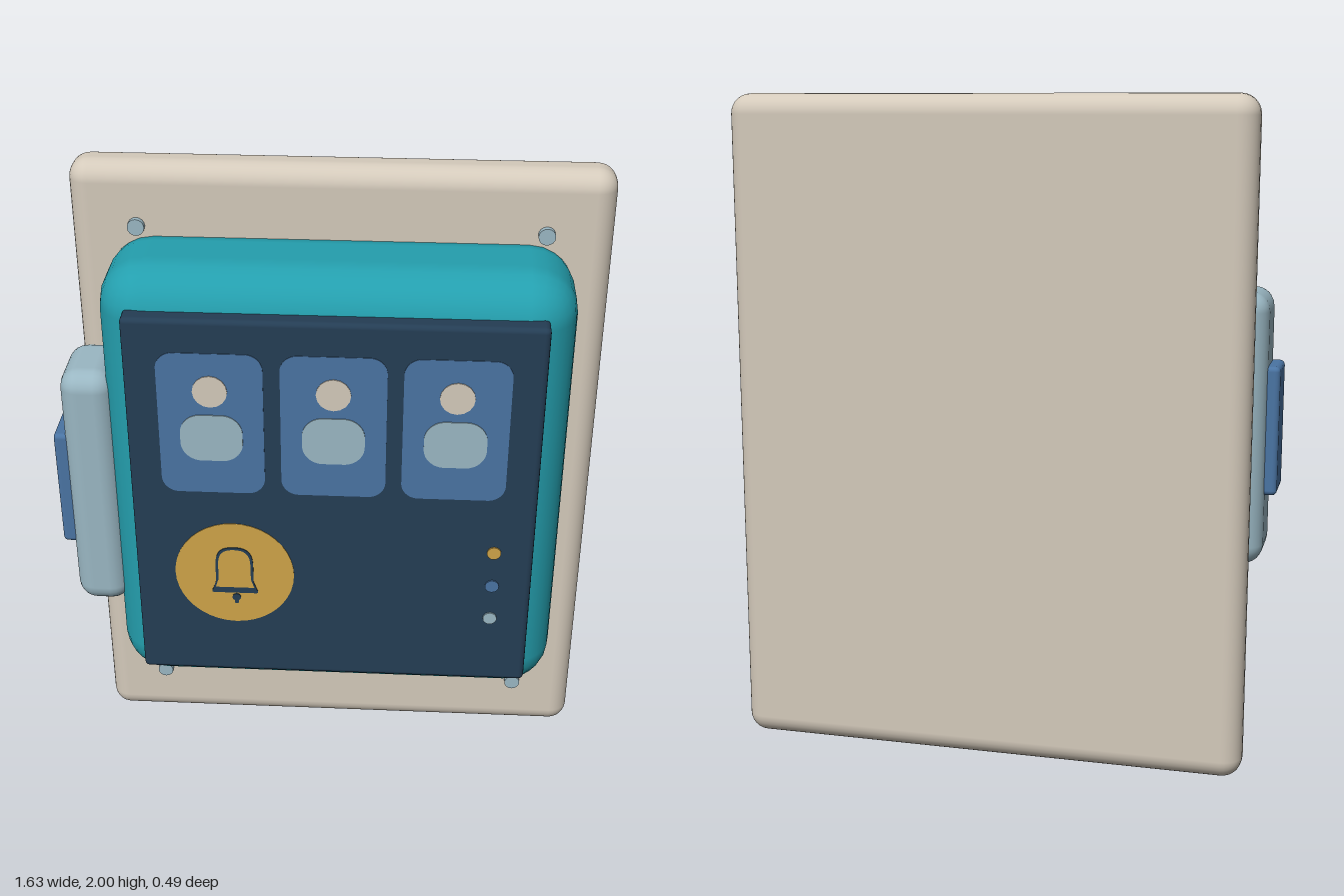
import * as THREE from 'three';
import { RoundedBoxGeometry } from 'three/addons/geometries/RoundedBoxGeometry.js';

const mat = (name, color) => {
  const m = new THREE.MeshStandardMaterial({ color });
  m.name = name;
  return m;
};

export function createModel() {
  const group = new THREE.Group();
  const cream = mat('cream', 0xd4cabb);
  const teal = mat('teal', 0x249fae);
  const navy = mat('navy', 0x243d54);
  const blue = mat('blue', 0x4a74a3);
  const paleBlue = mat('paleBlue', 0x9ab7c3);
  const gold = mat('gold', 0xcfa448);

  const add = (name, geometry, material, x = 0, y = 0, z = 0) => {
    const mesh = new THREE.Mesh(geometry, material);
    mesh.name = name;
    mesh.position.set(x, y, z);
    group.add(mesh);
    return mesh;
  };

  // Rounded box given by its limits on each axis
  const box = (name, material, [x0, x1], [y0, y1], [z0, z1], radius, segments) =>
    add(name, new RoundedBoxGeometry(x1 - x0, y1 - y0, z1 - z0, segments, radius), material,
      (x0 + x1) / 2, (y0 + y1) / 2, (z0 + z1) / 2);

  // Thin plate lying on the screen
  const FACE = 0.24;
  const plate = (name, shape, material, x, y, depth) =>
    add(name, new THREE.ExtrudeGeometry(shape, { depth, bevelEnabled: false, curveSegments: 8 }),
      material, x, y, FACE);

  const roundedRect = (w, h, r) => {
    const s = new THREE.Shape();
    const a = w / 2, b = h / 2;
    s.absarc(a - r, b - r, r, 0, Math.PI / 2);
    s.absarc(-a + r, b - r, r, Math.PI / 2, Math.PI);
    s.absarc(-a + r, -b + r, r, Math.PI, Math.PI * 1.5);
    s.absarc(a - r, -b + r, r, Math.PI * 1.5, Math.PI * 2);
    s.closePath();
    return s;
  };
  const disc = (r) => {
    const s = new THREE.Shape();
    s.absarc(0, 0, r, 0, Math.PI * 2);
    return s;
  };

  // Main solids
  box('wallPlate', cream, [-0.755, 0.815], [0, 2], [-0.245, -0.102], 0.06, 4);
  box('housing', teal, [-0.65, 0.71], [0.36, 1.79], [-0.2, 0.195], 0.14, 3);
  box('screen', navy, [-0.565, 0.625], [0.465, 1.685], [0.16, FACE], 0.016, 2);
  box('sidePod', paleBlue, [-0.785, -0.62], [0.625, 1.44], [-0.118, 0.132], 0.06, 3);
  box('sideButton', blue, [-0.82, -0.76], [0.835, 1.22], [-0.066, 0.096], 0.015, 2);

  // Corner screws
  const screw = new THREE.CylinderGeometry(0.025, 0.025, 0.04, 16).rotateX(Math.PI / 2);
  for (const x of [-0.56, 0.62])
    for (const y of [0.19, 1.815]) add('screw', screw, paleBlue, x, y, -0.105);

  // Contact tiles with a head and shoulders
  for (const x of [-0.32, 0.03, 0.378]) {
    plate('contactTile', roundedRect(0.302, 0.455, 0.05), blue, x, 1.357, 0.002);
    plate('contactHead', disc(0.05), cream, x, 1.465, 0.005);
    plate('contactBody', roundedRect(0.18, 0.15, 0.06), paleBlue, x, 1.314, 0.005);
  }

  // Bell button: a disc with an outlined bell
  const BX = -0.268, BY = 0.84;
  const buttonMesh = plate('bellButton', disc(0.18), gold, BX, BY, 0.002);
  buttonMesh.geometry.dispose();
  buttonMesh.geometry = new THREE.CylinderGeometry(0.18, 0.18, 0.004, 40).rotateX(Math.PI / 2);

  const bellPath = (path, t) => {
    const w = 0.057 - t, low = -0.058 + t, top = 0.095 - t;
    path.moveTo(-w - 0.01, low);
    path.lineTo(-w, low + 0.03);
    path.lineTo(-w, 0.03);
    path.bezierCurveTo(-w, top - 0.01, -w * 0.6, top, 0, top);
    path.bezierCurveTo(w * 0.6, top, w, top - 0.01, w, 0.03);
    path.lineTo(w, low + 0.03);
    path.lineTo(w + 0.01, low);
    path.closePath();
    return path;
  };
  const bell = bellPath(new THREE.Shape(), 0);
  bell.holes.push(bellPath(new THREE.Path(), 0.008));
  plate('bellOutline', bell, navy, BX, BY, 0.005);
  plate('bellRim', roundedRect(0.14, 0.012, 0.005), navy, BX, BY - 0.064, 0.005);
  plate('bellClapper', disc(0.013), navy, BX + 0.004, BY - 0.087, 0.005);
  plate('bellClapperTip', roundedRect(0.012, 0.03, 0.005), navy, BX + 0.004, BY - 0.095, 0.005);

  // Status lights
  [gold, blue, paleBlue].forEach((m, i) =>
    plate('statusLight', disc(0.021), m, 0.508, 0.945 - i * 0.12, 0.005));

  return group;
}
